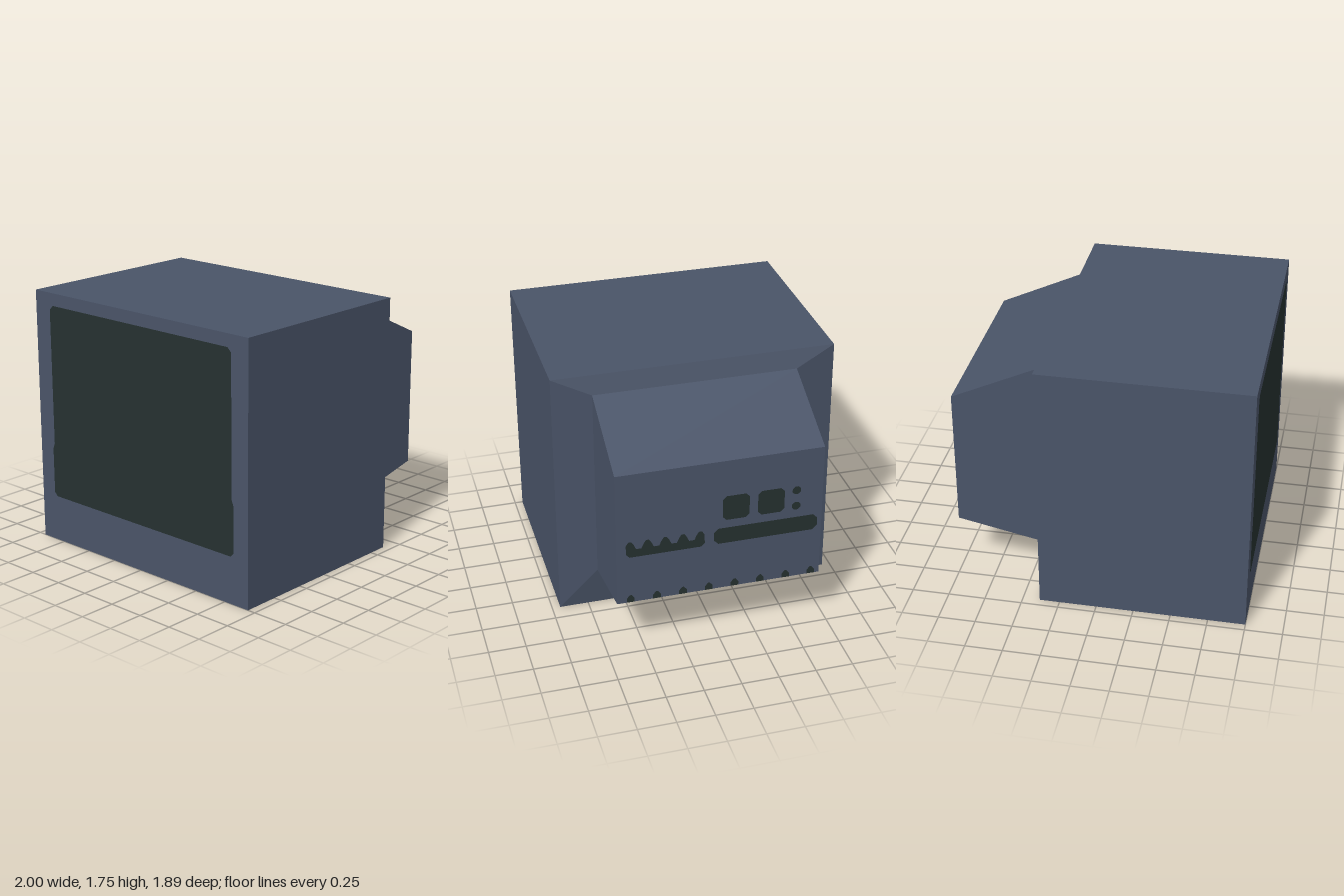
import * as THREE from 'three';

const bodyMat = new THREE.MeshStandardMaterial({ color: 0x4a5468, name: 'slate plastic' });
const darkMat = new THREE.MeshStandardMaterial({ color: 0x263130, name: 'dark glass' });

// Rectangular section in the plane x: bottom, top, z min, z max
const section = (x, y0, y1, z0, z1) =>
  [[x, y0, z1], [x, y0, z0], [x, y1, z0], [x, y1, z1]];

// Joins sections along +x with flat faces, closing the chosen ends
function loft(sections, capStart, capEnd) {
  const pos = [];
  const quad = (a, b, c, d) => [a, b, c, a, c, d].forEach(p => pos.push(...p));
  for (let s = 0; s < sections.length - 1; s++) {
    const a = sections[s], b = sections[s + 1];
    for (let i = 0; i < 4; i++) {
      const j = (i + 1) % 4;
      quad(a[i], a[j], b[j], b[i]);
    }
  }
  if (capStart) quad(...[...sections[0]].reverse());
  if (capEnd) quad(...sections[sections.length - 1]);
  const geo = new THREE.BufferGeometry();
  geo.setAttribute('position', new THREE.Float32BufferAttribute(pos, 3));
  geo.computeVertexNormals();
  return geo;
}

const polygon = pts => new THREE.Shape(pts.map(p => new THREE.Vector2(...p)));

// Rectangle with cut corners
const cutRect = (x0, x1, y0, y1, c) => polygon([
  [x0 + c, y0], [x1 - c, y0], [x1, y0 + c], [x1, y1 - c],
  [x1 - c, y1], [x0 + c, y1], [x0, y1 - c], [x0, y0 + c]]);

// Thin painted face on the +x (dir 1) or -x (dir -1) side
function plate(name, shape, dir) {
  const mesh = new THREE.Mesh(new THREE.ShapeGeometry(shape), darkMat);
  mesh.name = name;
  mesh.rotation.y = dir * Math.PI / 2;
  mesh.position.x = dir * 1.002;
  return mesh;
}

export function createModel() {
  const group = new THREE.Group();
  group.name = 'television';

  const front = section(-1, 0, 1.745, -0.945, 0.945);
  const back = section(0.385, 0, 1.745, -0.945, 0.945);
  const neck = section(0.43, 0.29, 1.625, -0.677, 0.687);
  const rear = section(1, 0.405, 1.358, -0.677, 0.687);

  const cabinet = new THREE.Mesh(loft([front, back, neck], true, false), bodyMat);
  cabinet.name = 'cabinet';
  const housing = new THREE.Mesh(loft([neck, rear], false, true), bodyMat);
  housing.name = 'rearHousing';
  group.add(cabinet, housing);

  // Screen, slightly wider towards the bottom
  group.add(plate('screen', polygon([
    [-0.80, 0.32], [0.80, 0.32], [0.825, 0.345], [0.825, 0.66], [0.81, 0.70], [0.81, 1.63],
    [0.78, 1.66], [-0.78, 1.66], [-0.81, 1.63], [-0.81, 0.70], [-0.825, 0.66], [-0.825, 0.345]]), -1));

  // Rear sockets and label bar; plate x runs along -z
  for (const x of [-0.01, 0.243].map((v, i) => (i ? v : 0.01)))
    group.add(plate('socketPanel', cutRect(x, x + 0.177, 0.923, 1.1, 0.025), 1));
  for (const y of [0.95, 1.067])
    group.add(plate('jack', cutRect(0.472, 0.528, y - 0.028, y + 0.028, 0.016), 1));
  group.add(plate('connectorBar', cutRect(-0.047, 0.648, 0.75, 0.865, 0.03), 1));

  // Row of knobs joined by a strip
  const comb = [[-0.6, 0.75], [-0.13, 0.75], [-0.107, 0.775]];
  for (let i = 4; i >= 0; i--) {
    const c = -0.598 + i * 0.1155;
    comb.push([c + 0.026, 0.84], [c + 0.01, 0.865], [c - 0.01, 0.865], [c - 0.026, 0.84]);
    if (i) comb.push([c - 0.04, 0.808], [c - 0.075, 0.808]);
  }
  comb.push([-0.624, 0.775]);
  group.add(plate('knobStrip', polygon(comb), 1));

  // Vent notches along the lower edge
  for (let i = 0; i < 8; i++) {
    const c = -0.598 + i * 0.1737;
    group.add(plate('ventNotch', polygon([
      [c - 0.026, 0.406], [c + 0.026, 0.406], [c + 0.026, 0.435],
      [c + 0.006, 0.46], [c - 0.006, 0.46], [c - 0.026, 0.435]]), 1));
  }
  return group;
}
